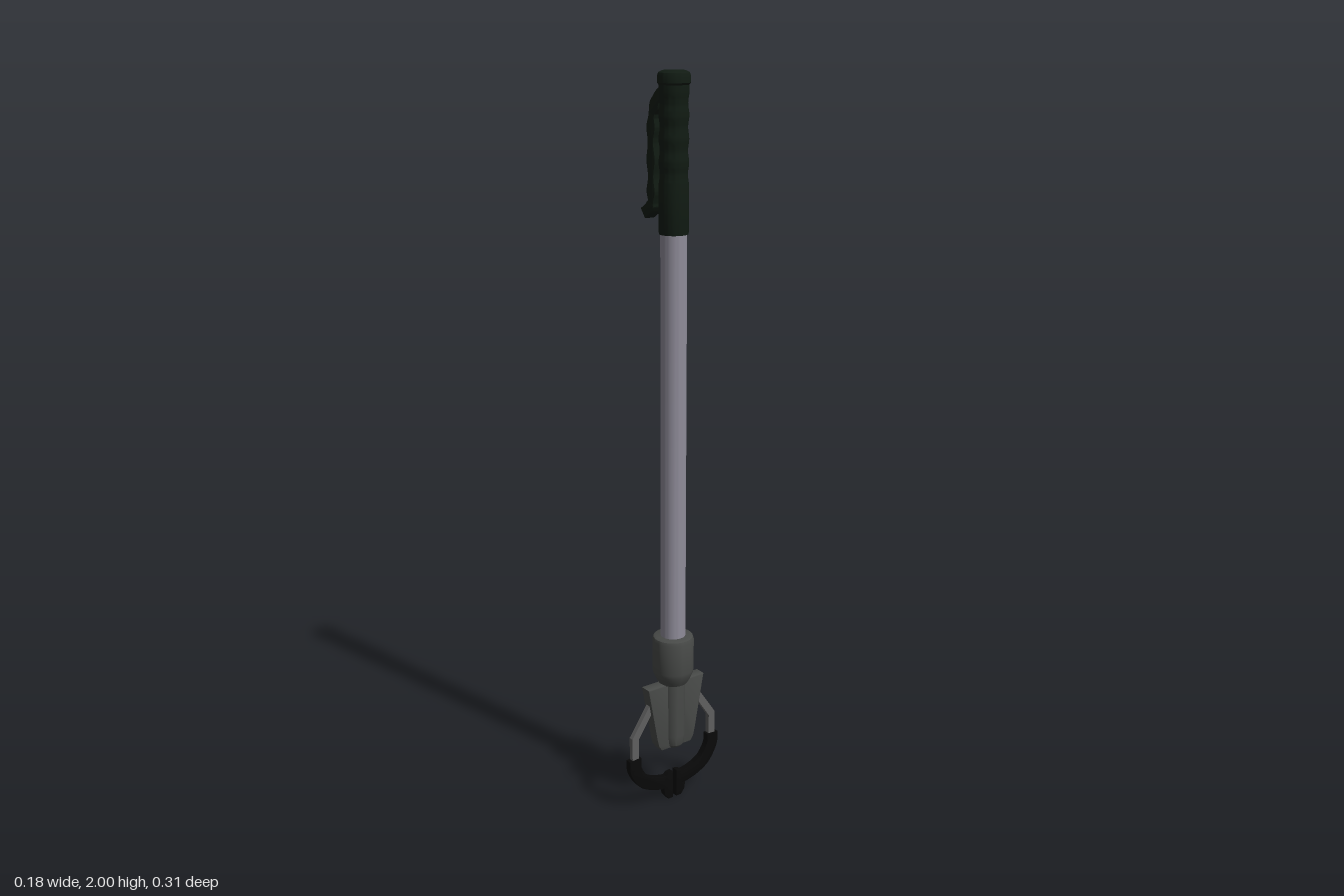
import * as THREE from 'three';
import { toCreasedNormals } from 'three/addons/utils/BufferGeometryUtils.js';

const material = (color) => new THREE.MeshStandardMaterial({ color });
const AXIS = 0.03; // x of the shaft

function add(parent, name, geometry, mat) {
  const mesh = new THREE.Mesh(toCreasedNormals(geometry, 0.6), mat);
  mesh.name = name;
  parent.add(mesh);
  return mesh;
}

const v2 = (points) => points.map(([x, y]) => new THREE.Vector2(x, y));

const turned = (profile, sides = 40) => new THREE.LatheGeometry(v2(profile), sides);

// Flat slab centred on its own plane
function slab(points, depth, bevel = 0) {
  const g = new THREE.ExtrudeGeometry(new THREE.Shape(points), {
    depth: depth - 2 * bevel, bevelEnabled: bevel > 0, bevelThickness: bevel,
    bevelSize: bevel, bevelOffset: -bevel, bevelSegments: 2,
  });
  return g.translate(0, 0, bevel - depth / 2);
}

// Slab whose outline is given as (z, y)
const sideSlab = (points, depth, bevel) => slab(points, depth, bevel).rotateY(-Math.PI / 2);

// Outline of a strip following a smooth path; widths may vary along it
function strip(path, left, right, steps = 40) {
  const curve = new THREE.SplineCurve(v2(path));
  const a = [], b = [];
  for (let i = 0; i <= steps; i++) {
    const t = i / steps;
    const p = curve.getPoint(t), d = curve.getTangent(t);
    const n = new THREE.Vector2(-d.y, d.x);
    a.push(p.clone().addScaledVector(n, left(t)));
    b.push(p.clone().addScaledVector(n, -right(t)));
  }
  return a.concat(b.reverse());
}

export function createModel() {
  const model = new THREE.Group();
  model.name = 'reachingGrabber';
  const body = new THREE.Group();
  body.name = 'body';
  body.position.x = AXIS;
  model.add(body);

  const rubber = material(0x111b13);
  const metal = material(0x8f8c99);
  const plastic = material(0x484a48);
  const steel = material(0x606060);
  const black = material(0x090909);

  // Shaft
  add(body, 'shaft', new THREE.CylinderGeometry(0.034, 0.034, 1.2, 40).translate(0, 1.05, 0), metal);

  // Grip with shallow finger swells and a rounded cap
  const profile = [[0, 1.6], [0.037, 1.6], [0.038, 1.605], [0.038, 1.72]];
  for (let i = 1; i <= 32; i++) {
    const t = i / 32;
    profile.push([0.0365 + 0.0015 * Math.cos(t * Math.PI * 8), 1.72 + t * 0.23]);
  }
  profile.push([0.038, 1.965], [0.042, 1.97], [0.042, 1.985], [0.039, 1.994], [0.03, 1.999], [0, 2]);
  add(body, 'grip', turned(profile), rubber);

  // Trigger lever, wavy on both faces and flicked out at its foot
  const wave = (t) => 0.0155 + (t > 0.2 && t < 0.85 ? 0.003 * Math.sin((t - 0.2) * Math.PI * 12) : 0);
  const lever = strip(
    [[0.02, 1.945], [-0.015, 1.94], [-0.043, 1.9], [-0.05, 1.85], [-0.05, 1.78], [-0.05, 1.71], [-0.054, 1.665], [-0.085, 1.64]],
    wave, wave, 80);
  const trigger = add(model, 'triggerLever', slab(lever, 0.034, 0.004), rubber);
  trigger.position.z = -0.002;

  // Collar at the foot of the shaft
  add(body, 'collar', turned([
    [0, 0.36], [0.04, 0.36], [0.047, 0.372], [0.055, 0.39], [0.057, 0.4],
    [0.057, 0.488], [0.054, 0.497], [0.048, 0.5], [0, 0.5],
  ]), plastic);

  // Tapered core of the jaw housing
  add(body, 'housingCore', turned([
    [0, 0.165], [0.024, 0.165], [0.03, 0.172], [0.033, 0.2], [0.034, 0.37], [0, 0.37],
  ], 24), plastic);

  for (const [side, s] of [['front', 1], ['back', -1]]) {
    const flip = (points) => points.map(([z, y]) => [z * s, y]);

    // Flared housing fin
    add(body, side + 'HousingFin', sideSlab(v2(flip([
      [0, 0.165], [0.05, 0.165], [0.06, 0.18], [0.065, 0.2], [0.095, 0.362], [0, 0.362],
    ])), 0.034, 0.003), plastic);

    const jaw = new THREE.Group();
    jaw.name = side + 'Jaw';
    body.add(jaw);

    // Bent steel arm
    add(jaw, side + 'Arm', sideSlab(v2(flip([
      [0.06, 0.31], [0.078, 0.32], [0.143, 0.225], [0.143, 0.13],
      [0.122, 0.13], [0.122, 0.218],
    ])), 0.014), steel);

    // Curved rubber jaw
    const half = () => 0.019;
    add(jaw, side + 'JawCurve', sideSlab(strip(flip([
      [0.134, 0.16], [0.132, 0.125], [0.108, 0.086], [0.075, 0.066], [0.04, 0.056], [0.018, 0.054],
    ]), half, half), 0.02, 0.002), black);

    // Gripping pad
    add(jaw, side + 'GripPad', sideSlab(v2(flip([
      [0.006, 0], [0.022, 0], [0.034, 0.015], [0.038, 0.04], [0.036, 0.068], [0.02, 0.08], [0.006, 0.082],
    ])), 0.02, 0.002), black);
  }
  return model;
}
